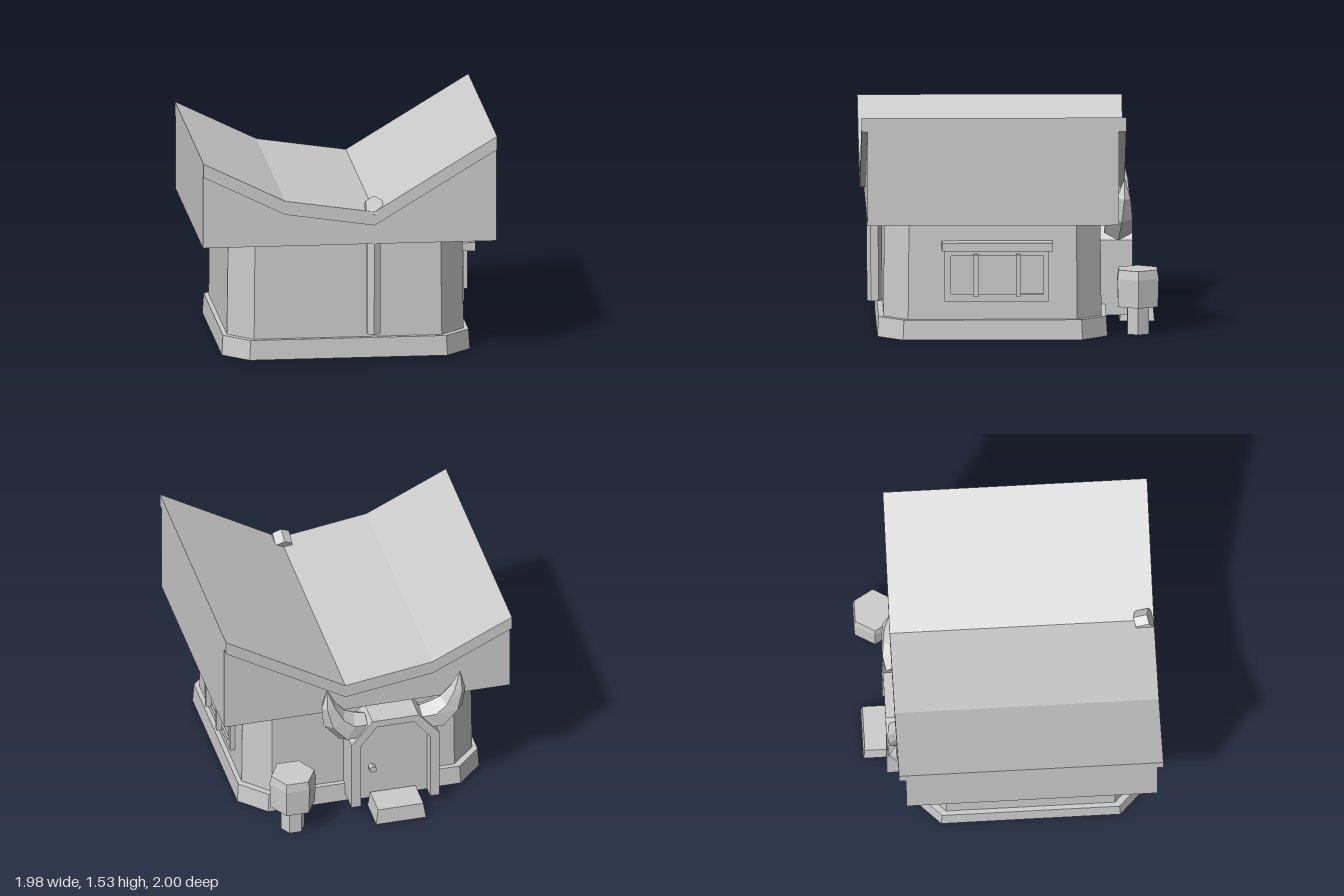
import * as THREE from 'three';

const stone = new THREE.MeshStandardMaterial({ color: 0xcccccc, flatShading: true, side: THREE.DoubleSide });
stone.name = 'pale grey';

const shapeOf = (pts) => new THREE.Shape(pts.map(([x, y]) => new THREE.Vector2(x, y)));
const extrude = (shape, depth) => new THREE.ExtrudeGeometry(shape, { depth, bevelEnabled: false });

// Drops the triangles that lie in the lowest plane, leaving the part hollow from below
const openBottom = (geo) => {
  const flat = geo.index ? geo.toNonIndexed() : geo;
  const p = flat.attributes.position;
  flat.computeBoundingBox();
  const low = flat.boundingBox.min.y + 0.001;
  const kept = [];
  for (let i = 0; i < p.count; i += 3) {
    if ([0, 1, 2].every((k) => p.getY(i + k) < low)) continue;
    for (let k = 0; k < 3; k++) kept.push(p.getX(i + k), p.getY(i + k), p.getZ(i + k));
  }
  const open = new THREE.BufferGeometry();
  open.setAttribute('position', new THREE.Float32BufferAttribute(kept, 3));
  open.computeVertexNormals();
  return open;
};

// Shrinks the top of a geometry towards its axis
const taperTop = (geo, top, scale) => {
  const p = geo.attributes.position;
  for (let i = 0; i < p.count; i++) {
    if (p.getY(i) < top - 0.001) continue;
    p.setX(i, p.getX(i) * scale);
    p.setZ(i, p.getZ(i) * scale);
  }
  geo.computeVertexNormals();
  return geo;
};

// Chamfered-corner block standing on its base
const chamferBlock = (hx, hz, cut, height, scale) => {
  const s = shapeOf([
    [hx, -hz + cut], [hx, hz - cut], [hx - cut, hz], [-hx + cut, hz],
    [-hx, hz - cut], [-hx, -hz + cut], [-hx + cut, -hz], [hx - cut, -hz],
  ]);
  return taperTop(extrude(s, height).rotateX(-Math.PI / 2), height, scale);
};

export function createModel() {
  const model = new THREE.Group();
  model.name = 'house';

  const add = (name, geometry, x = 0, y = 0, z = 0, parent = model) => {
    const mesh = new THREE.Mesh(geometry, stone);
    mesh.name = name;
    mesh.position.set(x, y, z);
    parent.add(mesh);
    return mesh;
  };
  const box = (name, x0, x1, y0, y1, z0, z1, parent) =>
    add(name, new THREE.BoxGeometry(x1 - x0, y1 - y0, z1 - z0),
      (x0 + x1) / 2, (y0 + y1) / 2, (z0 + z1) / 2, parent);

  // Hollow foundation and the walls on it
  const bodyZ = 0.113;
  add('foundation', openBottom(chamferBlock(0.837, 0.772, 0.17, 0.135, 0.99)), 0, 0, bodyZ);
  add('walls', chamferBlock(0.798, 0.732, 0.165, 0.67, 0.99), 0, 0.135, bodyZ);

  // Sagging roof slab and the deep gable body under it
  const sag = [[-0.99, 1.39], [-0.44, 1.12], [0.163, 1.03], [0.99, 1.53]];
  const under = sag.map(([x, y]) => [x, y - 0.093]);
  add('roofSlab', extrude(shapeOf([...under, ...[...sag].reverse()]), 1.775), 0, 0, -0.78);
  add('gableBody', extrude(shapeOf([[-0.99, 0.8], [0.99, 0.8], ...[...under].reverse()]), 1.685),
    0, 0, -0.73);

  // Six-sided front post and tilted ridge log
  const post = add('frontPost', new THREE.CylinderGeometry(0.052, 0.052, 0.76, 6), 0.166, 0.55, 0.898);
  post.rotation.x = 0.009;
  const log = add('ridgeLog', new THREE.CylinderGeometry(0.066, 0.066, 0.1, 6).rotateX(Math.PI / 2),
    0.164, 1.05, 0.928);
  log.rotation.x = -0.42;

  // Side window: frame with a hole, pane, bars and a hood
  const windowGroup = new THREE.Group();
  windowGroup.name = 'sideWindow';
  model.add(windowGroup);
  const frame = shapeOf([[-0.437, 0.26], [0.265, 0.26], [0.265, 0.62], [-0.437, 0.62]]);
  frame.holes.push(shapeOf([[-0.394, 0.31], [-0.394, 0.57], [0.227, 0.57], [0.227, 0.31]]));
  add('windowFrame', extrude(frame, 0.055).rotateY(Math.PI / 2), 0.774, 0, 0, windowGroup);
  box('windowPane', 0.78, 0.815, 0.3, 0.58, -0.24, 0.41, windowGroup);
  box('windowHood', 0.77, 0.903, 0.61, 0.667, -0.29, 0.455, windowGroup);
  for (const z of [0.227, -0.057])
    box('windowBar', 0.835, 0.874, 0.3, 0.583, z - 0.016, z + 0.016, windowGroup);

  // Back doorway: arched frame, recessed door, knob, horns
  const doorway = new THREE.Group();
  doorway.name = 'doorway';
  doorway.position.x = -0.17;
  model.add(doorway);
  const arch = [[0.305, 0.06], [0.305, 0.57], [0.16, 0.74], [-0.16, 0.74], [-0.305, 0.57], [-0.305, 0.06]];
  const opening = [[-0.24, 0.06], [-0.24, 0.55], [-0.13, 0.69], [0.13, 0.69], [0.24, 0.55], [0.24, 0.06]];
  add('doorFrame', openBottom(extrude(shapeOf([...arch, ...opening]), 0.28)), 0, 0, -0.835, doorway);
  add('door', extrude(shapeOf([...opening].reverse()), 0.18), 0, 0, -0.75, doorway);
  add('doorKnob', new THREE.CylinderGeometry(0.025, 0.025, 0.05, 6).rotateX(Math.PI / 2),
    0.145, 0.315, -0.77, doorway);

  // Horns: six-sided tubes, turned edge-down and narrowed ring by ring to a point
  const radii = [0.09, 0.11, 0.088, 0.052, 0.002];
  for (const side of [1, -1]) {
    const path = new THREE.CatmullRomCurve3([
      [0.19, 0.66, -0.735], [0.3, 0.665, -0.735], [0.395, 0.745, -0.75],
      [0.445, 0.87, -0.77], [0.46, 1.01, -0.78],
    ].map(([x, y, z]) => new THREE.Vector3(side * x, y, z)));
    const horn = new THREE.TubeGeometry(path, 4, 1, 6);
    const p = horn.attributes.position;
    const v = new THREE.Vector3();
    for (let i = 0; i < p.count; i++) {
      const ring = Math.floor(i / 7);
      const c = path.getPointAt(ring / 4);
      v.fromBufferAttribute(p, i).sub(c).applyAxisAngle(path.getTangentAt(ring / 4), Math.PI / 6);
      v.multiplyScalar(radii[ring]).add(c);
      p.setXYZ(i, v.x, v.y, v.z);
    }
    horn.computeVertexNormals();
    add(side > 0 ? 'leftHorn' : 'rightHorn', horn, 0, 0, 0, doorway);
  }

  // Hollow doorstep
  add('doorStep', openBottom(taperTop(new THREE.BoxGeometry(0.345, 0.11, 0.235), 0.055, 0.91)),
    -0.17, 0.055, -0.867);

  // Six-sided tree beside the door, open underneath
  const tree = new THREE.Group();
  tree.name = 'tree';
  tree.position.set(0.55, 0, -0.865);
  model.add(tree);
  const hex = (name, profile) =>
    add(name, new THREE.LatheGeometry(profile.map(([r, y]) => new THREE.Vector2(r, y)), 6)
      .rotateY(Math.PI / 2), 0, 0, 0, tree);
  hex('trunk', [[0.083, 0], [0.083, 0.2]]);
  hex('crown', [[0.154, 0.19], [0.16, 0.38], [0.149, 0.44], [0, 0.44]]);

  return model;
}
